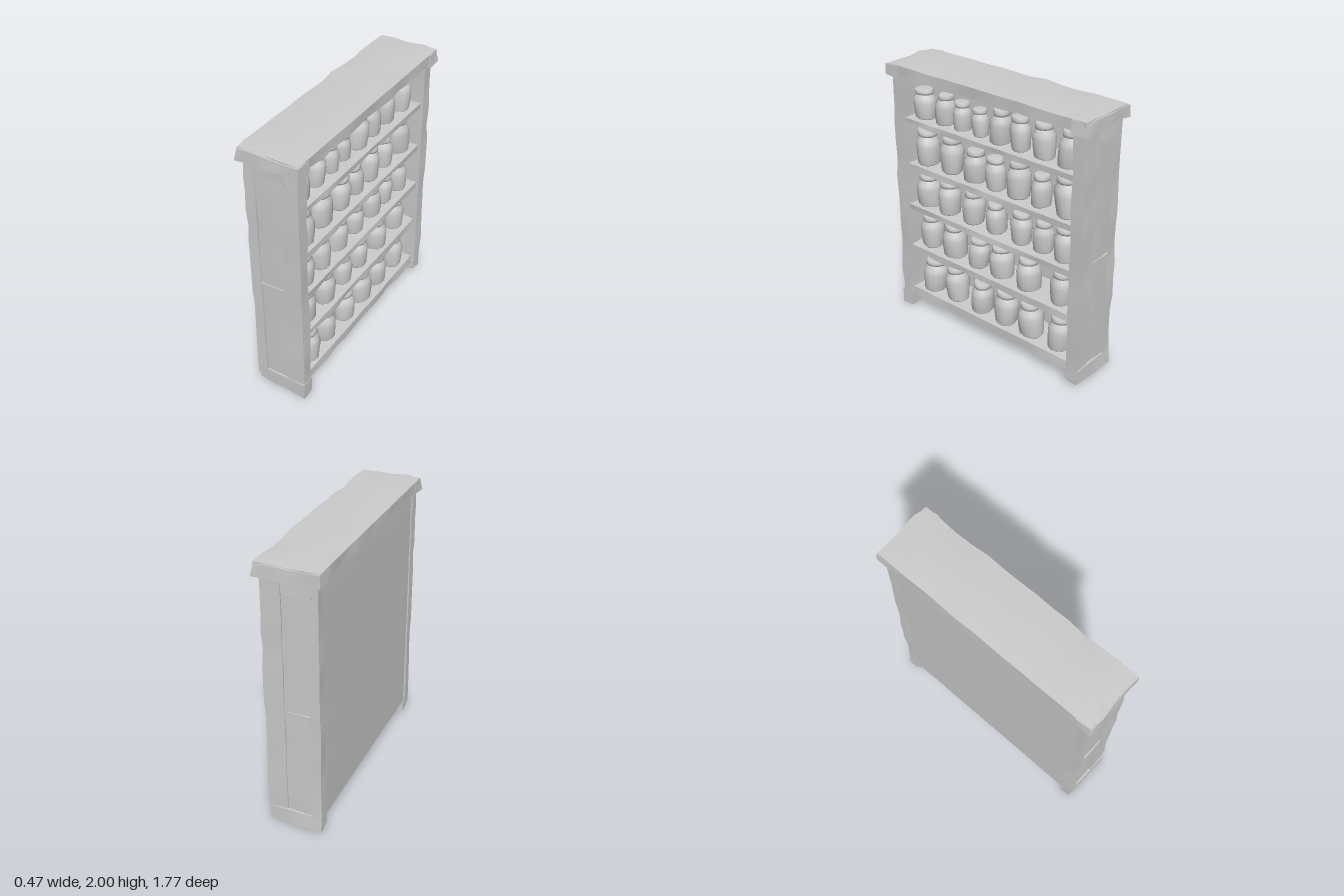
import * as THREE from 'three';

const plaster = new THREE.MeshStandardMaterial({ color: 0xcccccc });
plaster.name = 'plain grey';

// Repeatable value in 0..1 from a position
const hash = (x, y, z) => {
  const s = Math.sin(x * 127.1 + y * 311.7 + z * 74.7) * 43758.5453;
  return s - Math.floor(s);
};

function add(parent, name, geometry) {
  const mesh = new THREE.Mesh(geometry, plaster);
  mesh.name = name;
  parent.add(mesh);
  return mesh;
}

// Worn board between two corners: its edges are chipped inwards, its faces stay nearly flat
function board(parent, name, [x0, y0, z0], [x1, y1, z1], chip = 0.012) {
  const size = [x1 - x0, y1 - y0, z1 - z0];
  const mid = [(x0 + x1) / 2, (y0 + y1) / 2, (z0 + z1) / 2];
  const seg = size.map((s) => Math.max(1, Math.round(s / 0.13)));
  const geometry = new THREE.BoxGeometry(...size, ...seg);
  const pos = geometry.attributes.position;
  for (let i = 0; i < pos.count; i++) {
    const p = [pos.getX(i), pos.getY(i), pos.getZ(i)];
    const q = p.map((v, k) => Math.round((v + mid[k]) * 1000) / 1000 + 0);
    const outer = p.map((v, k) => Math.abs(v) > size[k] / 2 - 1e-4);
    if (outer.filter(Boolean).length > 1) {
      const amount = chip * hash(...q);
      for (let k = 0; k < 3; k++) if (outer[k]) p[k] -= Math.sign(p[k]) * Math.min(amount, size[k] * 0.3);
    }
    pos.setXYZ(i, p[0] + mid[0], p[1] + mid[1], p[2] + mid[2]);
  }
  geometry.computeVertexNormals();
  return add(parent, name, geometry);
}

// Jar with a bulging body, narrow neck and lid; slightly dented and leaning
function jar(parent, z, floor, top, r, seed) {
  const h = top - floor;
  const group = new THREE.Group();
  group.name = 'jar';
  const parts = {
    jarBody: [[0, 0], [0.82, 0], [0.9, 0.04], [0.97, 0.3], [1, 0.55], [0.92, 0.7], [0.7, 0.8], [0.66, 0.86]],
    jarLid: [[0.6, 0.83], [0.76, 0.84], [0.78, 0.9], [0.76, 0.98], [0.68, 1], [0, 1]],
  };
  for (const [name, profile] of Object.entries(parts)) {
    const geometry = new THREE.LatheGeometry(profile.map(([x, y]) => new THREE.Vector2(x * r, y * h)), 14);
    const pos = geometry.attributes.position;
    for (let i = 0; i < pos.count; i++) {
      const x = pos.getX(i), y = pos.getY(i), w = pos.getZ(i);
      const a = Math.atan2(w, x);
      const k = 1 + 0.05 * Math.sin(2 * a + seed * 2.3 + y * 12) + 0.03 * Math.sin(3 * a + seed);
      pos.setXYZ(i, x * k, y, w * k + y * 0.06 * Math.sin(seed * 4.1));
    }
    geometry.computeVertexNormals();
    add(group, name, geometry);
  }
  group.position.set(0.06, floor, z);
  parent.add(group);
}

export function createModel() {
  const root = new THREE.Group();
  root.name = 'jarShelf';

  // Thick top with a cap block at each end
  board(root, 'topBoard', [-0.23, 1.91, -0.87], [0.225, 2, 0.87]);
  for (const s of [-1, 1]) {
    const a = s < 0 ? -0.885 : 0.755, b = s < 0 ? -0.755 : 0.885;
    board(root, 'topCap', [-0.235, 1.9, a], [0.235, 1.998, b], 0.018);
  }

  // Panelled ends: core, uprights, rails and foot
  for (const s of [-1, 1]) {
    const end = new THREE.Group();
    end.name = s > 0 ? 'frontEnd' : 'backEnd';
    const part = (name, x0, x1, y0, y1, inner, outer, chip) =>
      board(end, name, [x0, y0, Math.min(s * inner, s * outer)], [x1, y1, Math.max(s * inner, s * outer)], chip);
    part('endPanel', -0.19, 0.19, 0.05, 1.92, 0.76, 0.835);
    part('openSidePost', 0.05, 0.2, 0.05, 1.92, 0.752, 0.85, 0.01);
    part('backSidePost', -0.205, -0.12, 0.05, 1.92, 0.77, 0.85, 0.01);
    part('upperRail', -0.16, 0.1, 1.8, 1.92, 0.8, 0.848);
    part('middleRail', -0.16, 0.1, 0.92, 0.95, 0.8, 0.846, 0.006);
    part('foot', -0.205, 0.2, s > 0 ? 0 : 0.015, 0.14, 0.745, 0.858, 0.02);
    root.add(end);
  }

  // Back and shelves
  board(root, 'backPanel', [-0.19, 0.1, -0.78], [-0.11, 1.92, 0.78], 0.003);
  const shelves = [[0.1, 0.18], [0.5, 0.56], [0.85, 0.905], [1.19, 1.245], [1.55, 1.6]];
  for (const [y0, y1] of shelves) board(root, 'shelf', [-0.15, y0, -0.765], [0.175, y1, 0.765], 0.012);

  // Jars on each shelf: position along the shelf, top height, radius
  const rows = [
    [[0.62, 0.44, 0.1], [0.38, 0.45, 0.09], [0.13, 0.42, 0.09], [-0.105, 0.44, 0.095], [-0.35, 0.44, 0.095], [-0.6, 0.44, 0.09]],
    [[0.635, 0.81, 0.09], [0.39, 0.81, 0.095], [0.16, 0.78, 0.085], [-0.065, 0.8, 0.09], [-0.32, 0.8, 0.095], [-0.6, 0.8, 0.085]],
    [[0.64, 1.15, 0.095], [0.44, 1.15, 0.09], [0.21, 1.15, 0.085], [-0.015, 1.12, 0.078], [-0.245, 1.13, 0.082], [-0.435, 1.13, 0.075], [-0.635, 1.15, 0.085]],
    [[0.64, 1.5, 0.095], [0.41, 1.51, 0.088], [0.18, 1.48, 0.088], [-0.015, 1.47, 0.078], [-0.21, 1.51, 0.085], [-0.41, 1.47, 0.075], [-0.635, 1.525, 0.092]],
    [[0.655, 1.81, 0.085], [0.46, 1.82, 0.075], [0.295, 1.8, 0.07], [0.13, 1.79, 0.062], [-0.05, 1.84, 0.082], [-0.23, 1.83, 0.075], [-0.43, 1.84, 0.078], [-0.635, 1.85, 0.085]],
  ];
  rows.forEach((row, i) => row.forEach(([z, top, r], j) => jar(root, z, shelves[i][1] - 0.004, top, r, i * 9 + j + 1)));

  return root;
}
